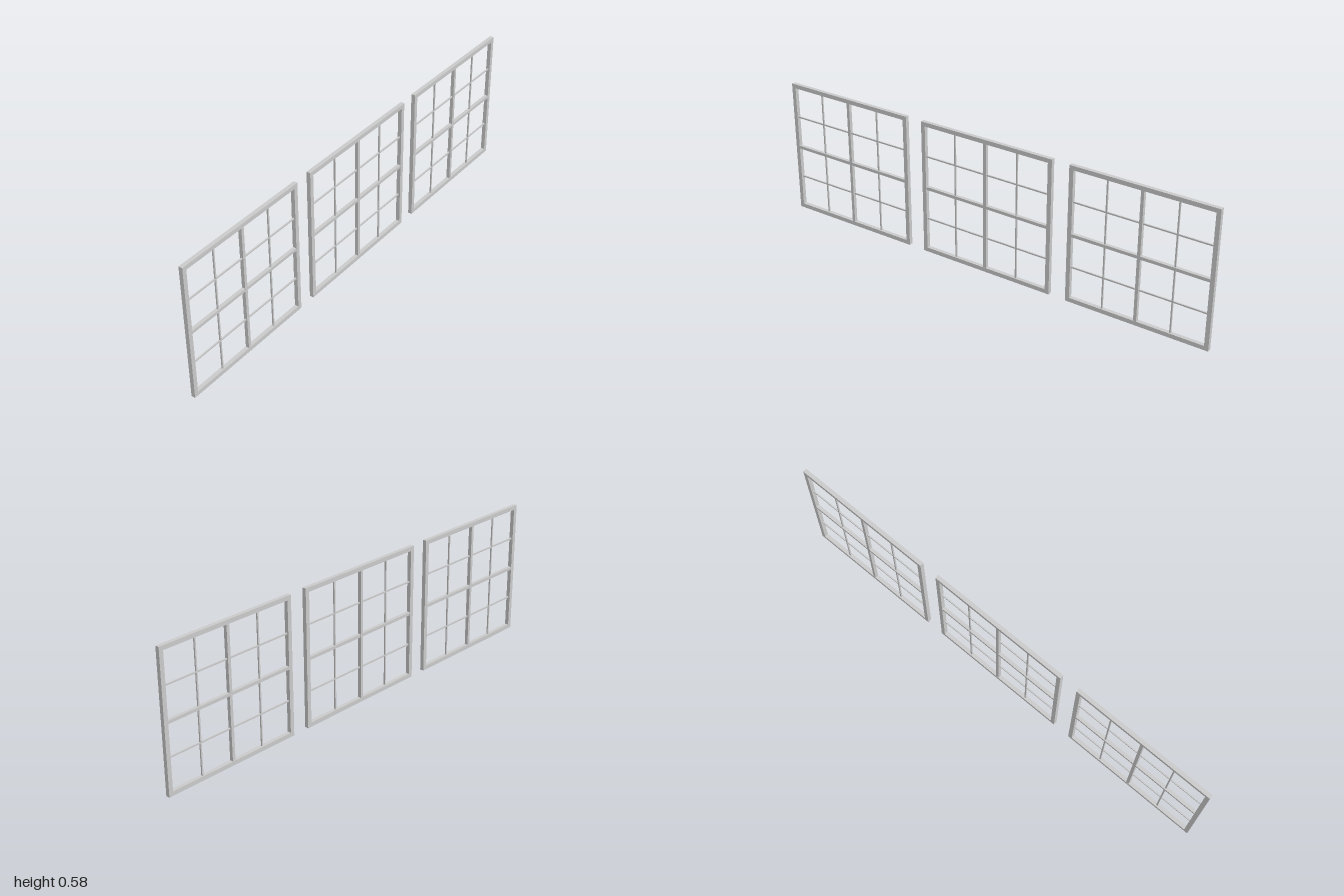
import * as THREE from 'three';

const W = 0.616, H = 0.585, DEPTH = 0.017, FRAME = 0.018;

export function createModel() {
  const model = new THREE.Group();
  model.name = 'windowFrames';
  const material = new THREE.MeshStandardMaterial({ color: 0xcccccc, flatShading: true });

  // Window drawn in its own plane, then turned to face sideways
  const rect = (P, w, h) => {
    const p = new P();
    p.moveTo(-w / 2, -h / 2);
    p.lineTo(w / 2, -h / 2);
    p.lineTo(w / 2, h / 2);
    p.lineTo(-w / 2, h / 2);
    p.closePath();
    return p;
  };
  const outline = rect(THREE.Shape, W, H);
  const innerW = W - 2 * FRAME, innerH = H - 2 * FRAME;
  outline.holes.push(rect(THREE.Path, innerW, innerH));
  const frameGeometry = new THREE.ExtrudeGeometry(outline, { depth: DEPTH, bevelEnabled: false });
  frameGeometry.translate(0, 0, -DEPTH / 2);

  function createWindow() {
    const window = new THREE.Group();
    const add = (name, geometry, x = 0, y = 0) => {
      const mesh = new THREE.Mesh(geometry, material);
      mesh.name = name;
      mesh.position.set(x, y, 0);
      window.add(mesh);
    };
    add('outerFrame', frameGeometry);

    // Thick centre bars
    add('centreMullion', new THREE.BoxGeometry(0.013, innerH, 0.015));
    add('centreTransom', new THREE.BoxGeometry(innerW, 0.013, 0.0148));

    // Thin bars halfway across each pane
    for (const side of [-1, 1]) {
      add('verticalGlazingBar', new THREE.BoxGeometry(0.006, innerH, 0.006), side * 0.147, 0);
      add('horizontalGlazingBar', new THREE.BoxGeometry(innerW, 0.006, 0.0058), 0, side * 0.14);
    }
    window.rotation.y = Math.PI / 2;
    return window;
  }

  // Three identical windows in a row
  ['rearWindow', 'middleWindow', 'frontWindow'].forEach((name, i) => {
    const window = createWindow();
    window.name = name;
    window.position.set(0, H / 2, (i - 1) * 0.692);
    model.add(window);
  });
  return model;
}
